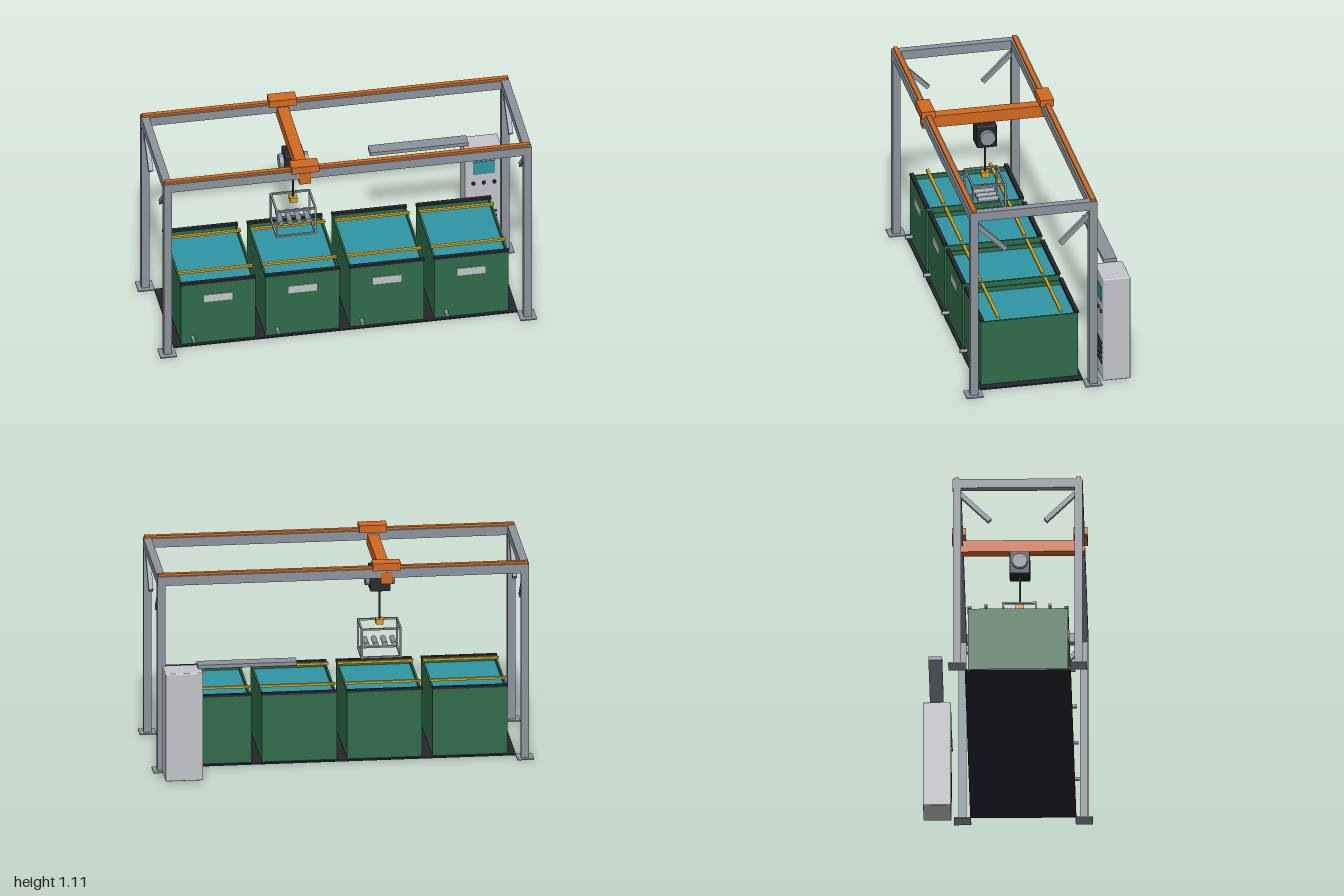
import * as THREE from 'three';
import { RoundedBoxGeometry } from 'three/addons/geometries/RoundedBoxGeometry.js';

const mat = (name, color) => {
  const m = new THREE.MeshStandardMaterial({ color });
  m.name = name;
  return m;
};

export function createModel() {
  const steel = mat('steel grey', 0x8c939b);
  const orange = mat('crane orange', 0xd2691e);
  const green = mat('tank green', 0x2f6b48);
  const dark = mat('dark grey', 0x25272e);
  const teal = mat('liquid teal', 0x2f96a3);
  const yellow = mat('bar yellow', 0xd4a31c);
  const pale = mat('cabinet grey', 0xc3c5c9);

  const model = new THREE.Group();
  model.name = 'dippingLine';
  const group = (name, parent = model) => {
    const g = new THREE.Group();
    g.name = name;
    parent.add(g);
    return g;
  };
  const add = (parent, name, geo, material, x, y, z) => {
    const m = new THREE.Mesh(geo, material);
    m.name = name;
    m.position.set(x, y, z);
    parent.add(m);
    return m;
  };
  const box = (parent, name, material, w, h, d, x, y, z) =>
    add(parent, name, new THREE.BoxGeometry(w, h, d), material, x, y, z);
  const rod = (parent, name, material, r, len, axis, x, y, z) => {
    const geo = new THREE.CylinderGeometry(r, r, len, 24);
    if (axis === 'x') geo.rotateZ(Math.PI / 2);
    if (axis === 'z') geo.rotateX(Math.PI / 2);
    return add(parent, name, geo, material, x, y, z);
  };

  const midZ = 0.081, halfSpan = 0.318, colX = 0.957;

  // Portal frame: columns, feet, corner braces, beams and rails
  const frame = group('frame');
  for (const sx of [-1, 1]) {
    for (const sz of [-1, 1]) {
      const z = midZ + sz * halfSpan;
      box(frame, 'column', steel, 0.042, 1.02, 0.042, sx * colX, 0.515, z);
      box(frame, 'footPlate', steel, 0.088, 0.007, 0.09, sx * colX, 0.0035, z);
      const brace = box(frame, 'brace', steel, 0.024, 0.215, 0.024, sx * colX, 0.915, midZ + sz * 0.222);
      brace.rotation.x = sz * Math.PI / 4;
    }
    box(frame, 'endBeam', steel, 0.042, 0.05, 2 * halfSpan - 0.044, sx * colX, 1.048, midZ);
  }
  for (const sz of [-1, 1]) {
    const z = midZ + sz * halfSpan;
    box(frame, 'longBeam', steel, 1.956, 0.05, 0.044, 0, 1.048, z);
    box(frame, 'rail', orange, 1.946, 0.012, 0.024, 0, 1.079, z);
  }

  // Travelling crane
  const crane = group('crane');
  const cx = -0.228;
  box(crane, 'bridge', orange, 0.06, 0.065, 0.682, cx, 1.0225, midZ);
  for (const sz of [-1, 1])
    box(crane, 'carriage', orange, 0.147, 0.04, 0.073, cx, 1.087, midZ + sz * halfSpan);
  add(crane, 'hoistBody', new RoundedBoxGeometry(0.107, 0.127, 0.107, 2, 0.005), dark, cx, 0.917, midZ);
  rod(crane, 'hoistDrum', steel, 0.04, 0.155, 'x', cx, 0.917, midZ);
  rod(crane, 'cable', dark, 0.0055, 0.18, 'y', cx, 0.77, midZ);
  box(crane, 'hookBlock', yellow, 0.04, 0.028, 0.043, cx, 0.676, midZ);

  // Open carrier basket with four workpieces
  const basket = group('basket', crane);
  basket.position.set(cx, 0.581, midZ);
  const bw = 0.215, bh = 0.164, bd = 0.182, t = 0.01;
  for (const a of [-1, 1]) for (const b of [-1, 1]) {
    box(basket, 'barX', steel, bw, t, t, 0, a * (bh - t) / 2, b * (bd - t) / 2);
    box(basket, 'barY', steel, t, bh - 2 * t, t, a * (bw - t) / 2, 0, b * (bd - t) / 2);
    box(basket, 'barZ', steel, t, t, bd - 2 * t, a * (bw - t) / 2, b * (bh - t) / 2, 0);
  }
  for (let i = 0; i < 4; i++)
    rod(basket, 'workpiece', steel, 0.014, 0.11, 'z', (i - 1.5) * 0.0485, -0.018, 0);

  // Floor plate and row of tanks
  box(model, 'basePlate', dark, 1.83, 0.008, 0.555, 0, 0.004, midZ);
  const w = 0.395, d = 0.521, wall = 0.01;
  const rect = (C, a, b) => {
    const p = new C();
    p.moveTo(-a, -b); p.lineTo(a, -b); p.lineTo(a, b); p.lineTo(-a, b); p.closePath();
    return p;
  };
  const shell = rect(THREE.Shape, w / 2, d / 2);
  shell.holes.push(rect(THREE.Path, w / 2 - wall, d / 2 - wall));
  const shellGeo = new THREE.ExtrudeGeometry(shell, { depth: 0.367, bevelEnabled: false });
  shellGeo.rotateX(-Math.PI / 2);
  for (let i = 0; i < 4; i++) {
    const tank = group('tank');
    tank.position.set((i - 1.5) * 0.449 - 0.002, 0, midZ);
    add(tank, 'tankWalls', shellGeo, green, 0, 0.007, 0);
    box(tank, 'liquid', teal, w - 2 * wall, 0.34, d - 2 * wall, 0, 0.18, 0);
    for (const s of [-1, 1]) {
      box(tank, 'rim', dark, 0.4, 0.013, 0.021, 0, 0.38, s * 0.253);
      box(tank, 'electrodeBar', yellow, 0.4, 0.012, 0.016, 0, 0.395, s * 0.168);
    }
    box(tank, 'labelPlate', pale, 0.15, 0.044, 0.005, 0, 0.283, d / 2 + 0.002);
    rod(tank, 'drainPipe', steel, 0.01, 0.045, 'z', -0.135, 0.045, d / 2 + 0.0175);
  }

  // Control cabinet with screen, buttons and vents
  const cabinet = group('controlCabinet');
  cabinet.position.set(0.856, 0, -0.368);
  add(cabinet, 'cabinetBody', new RoundedBoxGeometry(0.198, 0.592, 0.146, 2, 0.006), pale, 0, 0.301, 0);
  box(cabinet, 'screen', teal, 0.117, 0.08, 0.006, 0.002, 0.49, 0.074);
  for (const x of [-0.055, 0, 0.056])
    rod(cabinet, 'button', dark, 0.01, 0.009, 'z', x, 0.395, 0.076);
  for (let i = 0; i < 5; i++)
    box(cabinet, 'vent', dark, 0.135, 0.011, 0.005, 0.002, 0.097 + i * 0.0283, 0.074);
  box(cabinet, 'cableTray', steel, 0.522, 0.02, 0.072, -0.335, 0.618, -0.001);

  return model;
}
